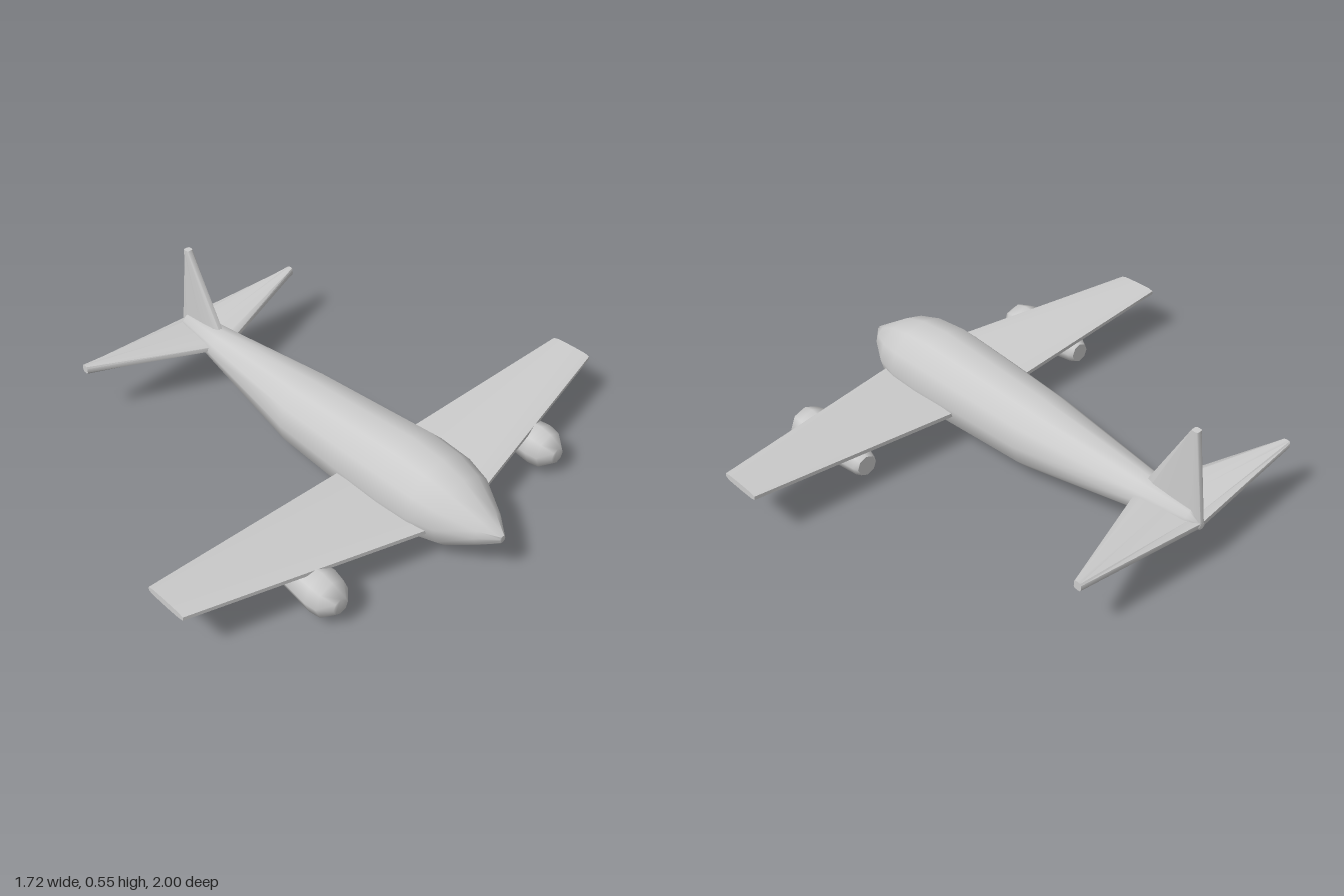
import * as THREE from 'three';
import { toCreasedNormals } from 'three/addons/utils/BufferGeometryUtils.js';

const material = new THREE.MeshStandardMaterial({ color: 0xcccccc });

// Skin a list of equal-length cross-section loops and close both ends
function loft(name, sections) {
  const n = sections[0].length;
  const pos = sections.flat(2);
  const index = [];
  for (let s = 0; s < sections.length - 1; s++) {
    for (let i = 0; i < n; i++) {
      const a = s * n + i, b = s * n + (i + 1) % n;
      index.push(a, b, a + n, b, b + n, a + n);
    }
  }
  const last = (sections.length - 1) * n;
  for (let i = 1; i < n - 1; i++) {
    index.push(0, i + 1, i, last, last + i, last + i + 1);
  }
  // Turn the faces outward whichever way the loops run
  const p = (i) => new THREE.Vector3().fromArray(pos, index[i] * 3);
  let volume = 0;
  for (let i = 0; i < index.length; i += 3) volume += p(i).dot(p(i + 1).cross(p(i + 2)));
  if (volume < 0) index.reverse();

  const geometry = new THREE.BufferGeometry();
  geometry.setAttribute('position', new THREE.Float32BufferAttribute(pos, 3));
  geometry.setIndex(index);
  const mesh = new THREE.Mesh(toCreasedNormals(geometry, 0.95), material);
  mesh.name = name;
  return mesh;
}

// Elliptical loop across the x axis
function ring(x, top, bottom, halfWidth, z, sides) {
  return Array.from({ length: sides }, (_, i) => {
    const a = (i / sides) * Math.PI * 2;
    return [x, (top + bottom) / 2 + Math.cos(a) * (top - bottom) / 2, z + Math.sin(a) * halfWidth];
  });
}

// Blunt-edged slab section: [fraction of chord, fraction of half thickness]
const FOIL = [[0, -0.5], [0, 0.5], [0.12, 0.9], [0.5, 1], [0.88, 0.9], [1, 0.5],
  [1, -0.5], [0.88, -0.9], [0.5, -1], [0.12, -0.9]];

// Foil loop at a span station, lying flat or standing upright
function foil(back, front, y, z, half, upright = false) {
  return FOIL.map(([c, t]) => {
    const x = back + (front - back) * c;
    return upright ? [x, y, z + t * half] : [x, y + t * half, z];
  });
}

export function createModel() {
  const plane = new THREE.Group();
  plane.name = 'airplane';

  // Fuselage: x, top, bottom, half width, sideways offset
  const stations = [
    [-0.86, 0.205, 0.182, 0.015, -0.015],
    [-0.82, 0.25, 0.165, 0.045, -0.014],
    [-0.6, 0.268, 0.122, 0.076, -0.011],
    [-0.1, 0.317, 0.025, 0.146, -0.005],
    [0.2, 0.338, 0.014, 0.163, -0.003],
    [0.43, 0.355, 0.004, 0.174, -0.003],
    [0.57, 0.342, 0.017, 0.168, -0.003],
    [0.67, 0.312, 0.045, 0.142, -0.003],
    [0.79, 0.235, 0.12, 0.07, -0.002],
    [0.856, 0.192, 0.163, 0.014, 0],
  ];
  plane.add(loft('fuselage', stations.map((s) => ring(...s, 12))));

  for (const [side, s] of [['left', 1], ['right', -1]]) {
    // Main wing, rising a little toward the tip
    plane.add(loft(`${side}Wing`, [
      foil(0.22, 0.66, 0.142, s * 0.05, 0.016),
      foil(0.26, 0.435, 0.201, s * 1.0, 0.014),
    ]));

    // Engine pod with a wide nose, tapering backward
    const pod = [[0.245, 0.04, 0.105], [0.265, 0.05, 0.108], [0.57, 0.08, 0.105],
      [0.615, 0.072, 0.102], [0.657, 0.032, 0.1]];
    plane.add(loft(`${side}Engine`, pod.map(([x, r, y]) =>
      ring(x, y + r, y - r, r, s * 0.546, 8))));

    // Tailplane
    plane.add(loft(`${side}Tailplane`, [
      foil(-0.86, -0.59, 0.198, -0.016, 0.018),
      foil(-0.82, -0.79, 0.233, -0.016 + s * 0.524, 0.017),
    ]));
  }

  // Upright tail fin
  plane.add(loft('tailFin', [
    foil(-0.86, -0.59, 0.2, -0.013, 0.017, true),
    foil(-0.815, -0.788, 0.553, -0.013, 0.014, true),
  ]));

  return plane;
}
